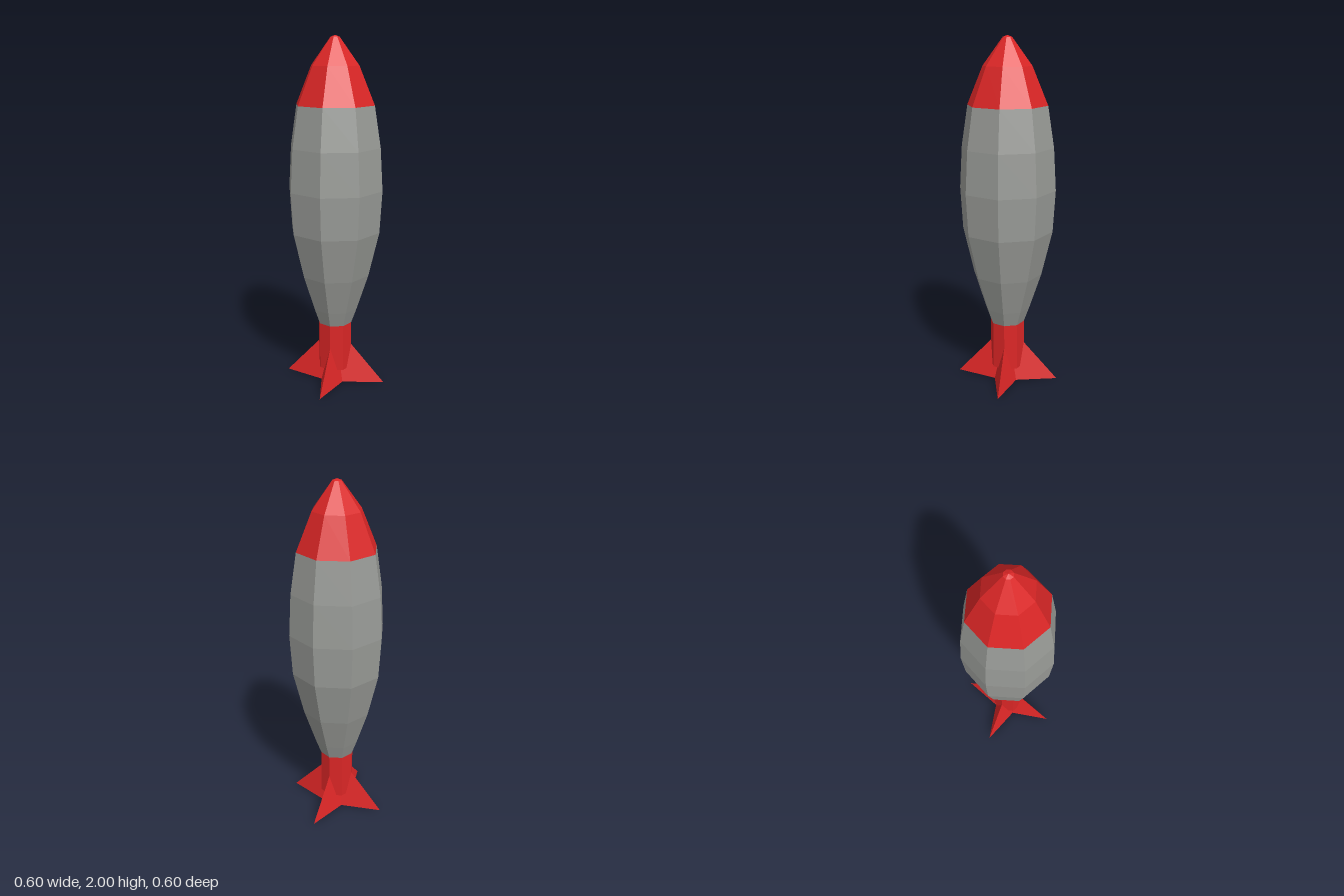
import * as THREE from 'three';

export function createModel() {
  const model = new THREE.Group();
  const red = new THREE.MeshStandardMaterial({ color: 0xdb2626, flatShading: true });
  red.name = 'red paint';
  const grey = new THREE.MeshStandardMaterial({ color: 0x999b97, flatShading: true });
  grey.name = 'grey metal';

  const add = (name, geometry, material) => {
    const mesh = new THREE.Mesh(geometry, material);
    mesh.name = name;
    model.add(mesh);
  };

  // Eight-sided turned part from [radius, height] pairs, bottom to top
  const turned = (profile) =>
    new THREE.LatheGeometry(profile.map(([r, y]) => new THREE.Vector2(r, y)), 8);

  add('noseCone', turned([[0.225, 1.63], [0.137, 1.84], [0.026, 1.99], [0, 2]]), red);
  add('body', turned([
    [0.1, 0.36], [0.132, 0.45], [0.2, 0.66], [0.261, 0.92],
    [0.275, 1.16], [0.261, 1.4], [0.225, 1.63],
  ]), grey);
  add('tailTube', turned([[0, 0.08], [0.1, 0.08], [0.1, 0.36]]), red);

  // Tail fins: a four-pointed star pyramid running up into the tail tube
  const tip = 0.3, valley = 0.092, apex = 0.33;
  const corner = (i) => {
    const r = i % 2 ? valley : tip;
    const a = (i * Math.PI) / 4;
    return [Math.sin(a) * r, 0, Math.cos(a) * r];
  };
  const points = [];
  for (let i = 0; i < 8; i++) {
    const a = corner(i), b = corner(i + 1);
    points.push(...a, ...b, 0, apex, 0); // sloping side
    points.push(...b, ...a, 0, 0, 0); // flat underside
  }
  const fins = new THREE.BufferGeometry();
  fins.setAttribute('position', new THREE.Float32BufferAttribute(points, 3));
  fins.computeVertexNormals();
  add('tailFins', fins, red);

  return model;
}
